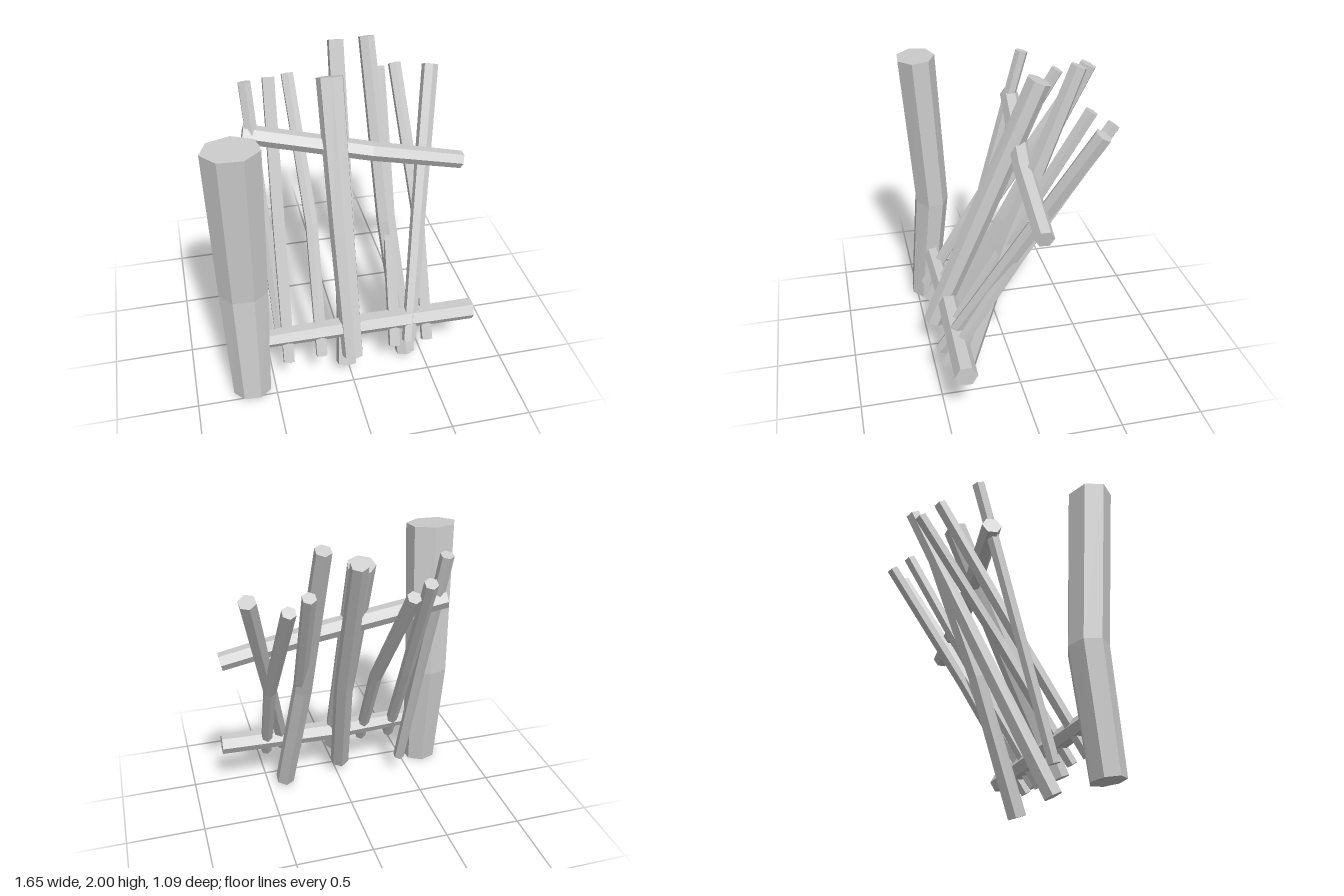
import * as THREE from 'three';

const material = new THREE.MeshStandardMaterial({ color: 0xcccccc, flatShading: true });

// Faceted log swept through rings of [x, y, z, radius across, radius deep], bottom or left end first
function log(name, rings, sides = 6, phase = 0) {
  const centres = rings.map((r) => new THREE.Vector3(r[0], r[1], r[2]));
  const positions = [];
  const index = [];
  const point = (v) => positions.push(v.x, v.y, v.z) / 3 - 1;

  rings.forEach((ring, i) => {
    const axis = centres[Math.min(i + 1, rings.length - 1)].clone()
      .sub(centres[Math.max(i - 1, 0)]).normalize();
    const deep = new THREE.Vector3(0, 0, 1).addScaledVector(axis, -axis.z).normalize();
    const across = new THREE.Vector3().crossVectors(axis, deep);
    const ra = ring[3];
    const rd = ring[4] ?? ra;
    for (let s = 0; s < sides; s++) {
      const a = ((s + phase) / sides) * Math.PI * 2;
      point(centres[i].clone()
        .addScaledVector(deep, Math.cos(a) * rd)
        .addScaledVector(across, Math.sin(a) * ra));
    }
  });

  // Side faces
  for (let i = 0; i < rings.length - 1; i++) {
    for (let s = 0; s < sides; s++) {
      const a = i * sides + s;
      const b = i * sides + ((s + 1) % sides);
      index.push(a, b, b + sides, a, b + sides, a + sides);
    }
  }
  // End caps
  const start = point(centres[0]);
  const end = point(centres[centres.length - 1]);
  const last = (rings.length - 1) * sides;
  for (let s = 0; s < sides; s++) {
    const n = (s + 1) % sides;
    index.push(start, n, s, end, last + s, last + n);
  }

  const geometry = new THREE.BufferGeometry();
  geometry.setAttribute('position', new THREE.Float32BufferAttribute(positions, 3));
  geometry.setIndex(index);
  const flat = geometry.toNonIndexed();
  flat.computeVertexNormals();
  const mesh = new THREE.Mesh(flat, material);
  mesh.name = name;
  return mesh;
}

export function createModel() {
  const group = new THREE.Group();
  group.name = 'leaningLogFence';

  // Thick upright post, bent at its middle
  group.add(log('post', [
    [-0.65, 0.01, 0.44, 0.12, 0.1],
    [-0.65, 0.77, 0.365, 0.15, 0.115],
    [-0.66, 1.79, 0.425, 0.166, 0.125],
  ], 7, 0.4));

  // Cross bars
  group.add(log('lowerBar', [
    [-0.58, 0.375, 0.39, 0.055],
    [0.05, 0.365, 0.375, 0.065],
    [0.8, 0.375, 0.395, 0.068],
  ]));
  group.add(log('upperBar', [
    [-0.54, 1.53, -0.165, 0.06],
    [0.23, 1.365, -0.07, 0.06],
    [0.81, 1.24, -0.045, 0.055],
  ]));

  // Heavy leaning logs
  group.add(log('centreLog', [
    [0, 0.2, 0.47, 0.068],
    [0, 0.95, 0.15, 0.078],
    [0.005, 1.82, -0.215, 0.085, 0.075],
  ], 7));
  group.add(log('backLog', [
    [-0.03, 0.08, 0.41, 0.065],
    [0.05, 0.95, 0, 0.06],
    [0.095, 1.93, -0.48, 0.052],
  ]));
  group.add(log('bentLog', [
    [0.385, 0.04, 0.35, 0.065],
    [0.305, 0.92, 0.05, 0.062],
    [0.26, 1.985, -0.37, 0.05],
  ]));

  // Thin leaning sticks
  const sticks = [
    [[-0.42, 0.15, 0.24, 0.038], [-0.455, 0.9, 0.03, 0.038], [-0.5, 1.83, -0.235, 0.042]],
    [[-0.41, 0.22, 0.46, 0.038], [-0.375, 0.95, 0.03, 0.042], [-0.335, 1.75, -0.425, 0.042]],
    [[-0.2, 0.23, 0.46, 0.038], [-0.17, 0.95, 0.03, 0.042], [-0.205, 1.72, -0.51, 0.042]],
    [[0.275, 0.22, 0.46, 0.038], [0.325, 1.0, 0.01, 0.042], [0.355, 1.75, -0.425, 0.042]],
    [[0.49, 0.23, 0.46, 0.038], [0.515, 0.95, 0.03, 0.042], [0.485, 1.72, -0.51, 0.042]],
    [[0.365, 0.25, 0.47, 0.044], [0.51, 0.95, 0.07, 0.048], [0.68, 1.75, -0.385, 0.052]],
  ];
  sticks.forEach((rings, i) => group.add(log(`stick${i + 1}`, rings)));

  return group;
}
